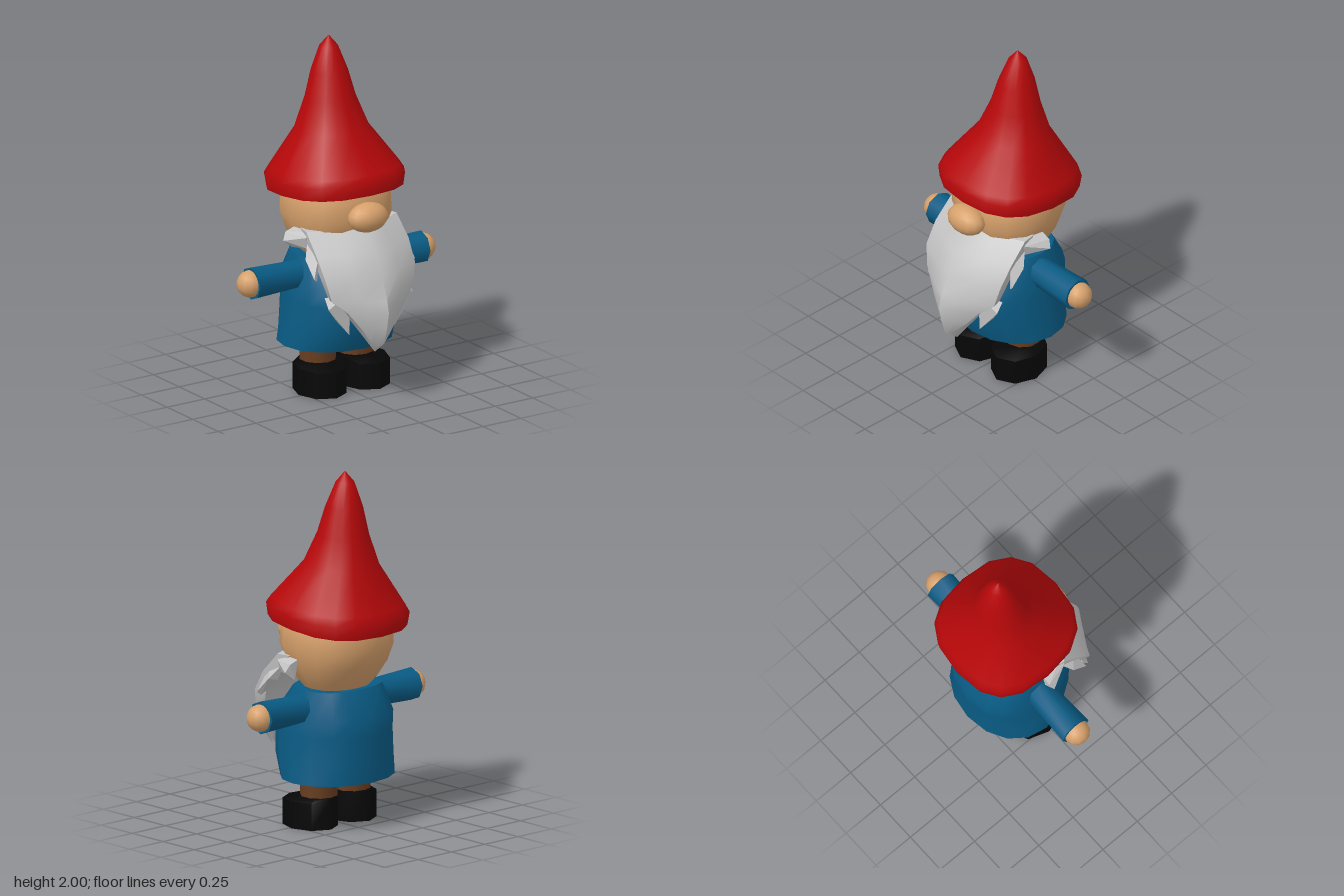
import * as THREE from 'three';
import { toCreasedNormals } from 'three/addons/utils/BufferGeometryUtils.js';
import { ConvexGeometry } from 'three/addons/geometries/ConvexGeometry.js';

const mat = (name, color, extra = {}) => {
  const m = new THREE.MeshStandardMaterial({ color, ...extra });
  m.name = name;
  return m;
};

// Skin a list of rings (each going from +z towards +x), bottom to top
function loft(rings, { capStart = false, capEnd = false, crease = 0.8 } = {}) {
  const n = rings[0].length, pos = [], index = [];
  rings.forEach(r => r.forEach(p => pos.push(...p)));
  for (let j = 0; j < rings.length - 1; j++) {
    for (let i = 0; i < n; i++) {
      const a = j * n + i, b = j * n + (i + 1) % n;
      index.push(a, b, b + n, a, b + n, a + n);
    }
  }
  const last = (rings.length - 1) * n;
  for (let i = 1; i < n - 1; i++) {
    if (capStart) index.push(0, i + 1, i);
    if (capEnd) index.push(last, last + i, last + i + 1);
  }
  const g = new THREE.BufferGeometry();
  g.setAttribute('position', new THREE.Float32BufferAttribute(pos, 3));
  g.setIndex(index);
  return toCreasedNormals(g, crease);
}

// Rounded-square ring; slope tilts it upwards towards the front
function ring(y, rx, zFront, zBack, slope = 0, power = 2.6, n = 16) {
  const zc = (zFront + zBack) / 2, rz = (zFront - zBack) / 2;
  const soft = v => Math.sign(v) * Math.abs(v) ** (2 / power);
  return Array.from({ length: n }, (_, i) => {
    const t = i / n * Math.PI * 2, z = rz * soft(Math.cos(t));
    return [rx * soft(Math.sin(t)), y + z * slope, zc + z];
  });
}

export function createModel() {
  const model = new THREE.Group();
  model.name = 'gardenGnome';
  const red = mat('hatRed', 0xb60709);
  const skin = mat('skin', 0xd6a06b);
  const blue = mat('coatBlue', 0x095b84, { side: THREE.DoubleSide });
  const grey = mat('beardGrey', 0xc4c4c4, { side: THREE.DoubleSide });
  const brown = mat('trouserBrown', 0x683d20);
  const black = mat('bootBlack', 0x060606);

  const add = (name, geometry, material, parent = model) => {
    const m = new THREE.Mesh(geometry, material);
    m.name = name;
    parent.add(m);
    return m;
  };

  // Pointed hat with a turned-in brim that meets the head
  add('hat', loft([
    ring(1.2, 0.25, 0.15, -0.3, 0.09),
    ring(1.165, 0.31, 0.225, -0.39, 0.09),
    ring(1.149, 0.352, 0.275, -0.44, 0.095),
    ring(1.222, 0.364, 0.28, -0.45, 0.09),
    ring(1.265, 0.34, 0.255, -0.425, 0.08),
    ring(1.48, 0.203, 0.085, -0.315, 0.08, 2.2),
    ring(1.65, 0.143, 0.015, -0.27, 0.05, 2),
    ring(1.8, 0.104, -0.03, -0.24, 0, 2),
    ring(1.94, 0.052, -0.09, -0.195, 0, 2),
    ring(2, 0.002, -0.14, -0.144, 0, 2),
  ], { crease: 1.1 }), red);

  // Head and nose
  add('head', loft([
    ring(0.76, 0.17, 0.07, -0.22, 0, 2.2),
    ring(0.83, 0.225, 0.12, -0.275, 0, 2.3),
    ring(0.92, 0.272, 0.175, -0.33, 0, 2.4),
    ring(1.02, 0.302, 0.215, -0.366, 0, 2.4),
    ring(1.13, 0.298, 0.205, -0.355, 0, 2.4),
    ring(1.24, 0.26, 0.16, -0.31, 0, 2.4),
  ], { capStart: true, capEnd: true }), skin);
  const nose = add('nose', new THREE.SphereGeometry(1, 14, 10), skin);
  nose.scale.set(0.123, 0.083, 0.085);
  nose.position.set(0, 1.05, 0.242);

  // Hollow coat with a hem turned inwards and a closed collar
  add('coat', loft([
    ring(0.29, 0.29, 0.16, -0.325, 0, 2.1),
    ring(0.275, 0.335, 0.2, -0.365, 0, 2.1),
    ring(0.4, 0.32, 0.25, -0.366, 0, 2.2),
    ring(0.54, 0.304, 0.26, -0.366, 0, 2.3),
    ring(0.64, 0.295, 0.24, -0.365, 0, 2.5),
    ring(0.79, 0.25, 0.11, -0.28, 0, 2.7),
    ring(0.785, 0.17, 0.06, -0.21, 0, 2.4),
  ]), blue);

  // Lower torso inside the coat
  add('torso', loft([
    ring(0.31, 0.16, 0.1, -0.22, 0, 2, 12),
    ring(0.77, 0.17, 0.06, -0.2, 0, 2, 12),
  ], { capStart: true }), skin);

  // Beard: ridged cross-sections, [y, half width, ridge z, corner z, back z]
  const beard = new THREE.Group();
  beard.name = 'beard';
  model.add(beard);
  const sections = [
    [0.29, 0.002, 0.312, 0.31, 0.308],
    [0.36, 0.05, 0.4, 0.35, 0.29],
    [0.46, 0.12, 0.43, 0.345, 0.26],
    [0.55, 0.19, 0.447, 0.325, 0.24],
    [0.62, 0.27, 0.43, 0.285, 0.235],
    [0.74, 0.298, 0.385, 0.265, 0.19],
    [0.86, 0.305, 0.325, 0.19, 0.11],
    [0.975, 0.3, 0.215, 0.08, 0],
  ];
  add('beardBody', loft(sections.map(([y, w, r, c, b]) => [
    [0, y, r], [w * 0.5, y, (r + c) / 2 + w * 0.02], [w, y, c], [w * 0.95, y, b], [0, y, b],
    [-w * 0.95, y, b], [-w, y, c], [-w * 0.5, y, (r + c) / 2 + w * 0.02],
  ]), { capStart: true, capEnd: true }), grey, beard);

  // Pointed locks of hair on both sides of the beard
  const locks = {
    sideburn: [[0.27, 0.965, 0.07], [0.28, 0.965, -0.065], [0.34, 0.945, -0.065], [0.365, 0.9, -0.05],
      [0.3, 0.85, -0.06], [0.28, 0.87, 0.07], [0.3, 0.94, 0.08]],
    cheekLock: [[0.27, 0.93, 0.05], [0.332, 0.83, 0.12], [0.335, 0.74, 0.21], [0.31, 0.72, 0.2],
      [0.27, 0.89, 0.17], [0.28, 0.82, 0.1]],
    lowerLock: [[0.28, 0.63, 0.23], [0.28, 0.57, 0.27], [0.17, 0.65, 0.3], [0.15, 0.405, 0.28],
      [0.225, 0.5, 0.25], [0.14, 0.58, 0.28]],
  };

  for (const [side, label] of [[1, 'left'], [-1, 'right']]) {
    for (const [name, pts] of Object.entries(locks)) {
      const v = pts.map(([x, y, z]) => new THREE.Vector3(x * side, y, z));
      add(`${label} ${name}`, new ConvexGeometry(v), grey, beard);
    }

    // Sleeve and hand
    const sleeve = add(`${label} sleeve`, toCreasedNormals(new THREE.CylinderGeometry(0.093, 0.078, 0.385, 8), 0.9), blue);
    sleeve.rotation.z = -side * Math.PI / 2;
    sleeve.position.set(side * 0.3725, 0.685, -0.07);
    const hand = add(`${label} hand`, new THREE.SphereGeometry(0.076, 12, 10), skin);
    hand.position.set(side * 0.571, 0.685, -0.07);

    // Trouser leg
    const leg = add(`${label} leg`, toCreasedNormals(new THREE.CylinderGeometry(0.104, 0.104, 0.28, 10), 0.9), brown);
    leg.position.set(side * 0.125, 0.314, -0.065);

    // Rounded boot with a sloping toe and outer edge
    const sole = ring(0, 0.14, 0.15, -0.185, 0, 2, 8);
    const boot = add(`${label} boot`, loft([
      sole,
      sole.map(([x, , z]) => [x, z > 0.08 ? 0.147 : x * side > 0.05 ? 0.153 : 0.175, z]),
      sole.map(([x, , z]) => [x * (x * side > 0 ? 0.68 : 0.95), 0.175, z > 0 ? z * 0.4 : z * 0.97]),
    ], { capStart: true, capEnd: true, crease: 0.9 }), black);
    boot.position.x = side * 0.145;
  }
  return model;
}
